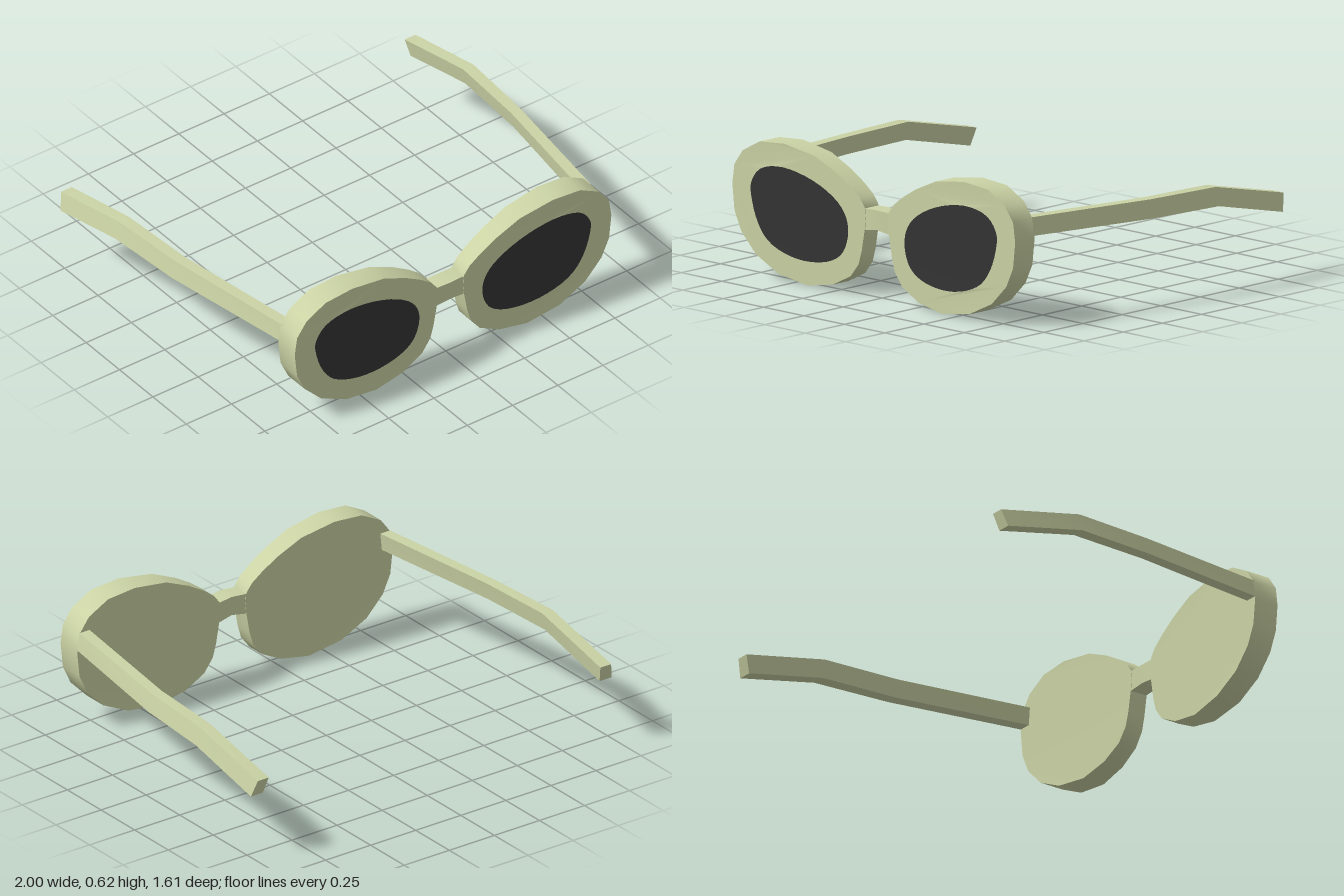
import * as THREE from 'three';
import { toCreasedNormals } from 'three/addons/utils/BufferGeometryUtils.js';

// Outline of one rim and one lens on the model's left (+x) side
const RIM = [
  [0.075, 0.31], [0.07, 0.36], [0.075, 0.41], [0.105, 0.45], [0.165, 0.495], [0.25, 0.545],
  [0.375, 0.6], [0.555, 0.628], [0.705, 0.616], [0.81, 0.56], [0.862, 0.49], [0.875, 0.4],
  [0.862, 0.28], [0.82, 0.19], [0.73, 0.098], [0.59, 0.03], [0.415, 0.003], [0.265, 0.03],
  [0.16, 0.083], [0.112, 0.145], [0.093, 0.21],
];
const LENS = [
  [0.176, 0.26], [0.18, 0.33], [0.22, 0.395], [0.32, 0.46], [0.47, 0.508], [0.605, 0.518],
  [0.71, 0.487], [0.76, 0.417], [0.755, 0.348], [0.72, 0.25], [0.66, 0.176], [0.55, 0.128],
  [0.417, 0.112], [0.283, 0.134], [0.21, 0.18],
];

// The front piece gets thinner toward the nose
const taper = (x) => Math.max(0, Math.min(1, (0.6 - Math.abs(x)) / 0.52));
const frontZ = (x) => 0.804 - 0.02 * taper(x);
const backZ = (x) => 0.68 + 0.016 * taper(x);

function outline(points, side) {
  const list = points.map(([x, y]) => new THREE.Vector2(x * side, y));
  return THREE.ShapeUtils.isClockWise(list) ? list.reverse() : list;
}

// Flat shape laid onto the front or back surface
function face(shape, zAt, flip) {
  const g = new THREE.ShapeGeometry(shape);
  const p = g.attributes.position;
  for (let i = 0; i < p.count; i++) p.setZ(i, zAt(p.getX(i)));
  if (flip) g.index.array.reverse();
  g.computeVertexNormals();
  return g;
}

// Smooth band around the edge of a rim
function edgeBand(pts) {
  const pos = [], idx = [], n = pts.length;
  pts.forEach((p, i) => {
    pos.push(p.x, p.y, backZ(p.x), p.x, p.y, frontZ(p.x));
    const a = 2 * i, b = 2 * ((i + 1) % n);
    idx.push(a, b, b + 1, a, b + 1, a + 1);
  });
  const g = new THREE.BufferGeometry();
  g.setAttribute('position', new THREE.Float32BufferAttribute(pos, 3));
  g.setIndex(idx);
  g.computeVertexNormals();
  return g;
}

// Bar through four-cornered sections, corners clockwise when looking along the bar
function bar(sections) {
  const idx = [], last = 4 * (sections.length - 1);
  for (let s = 0; s < last; s += 4) {
    for (let j = 0; j < 4; j++) {
      const a = s + j, b = s + (j + 1) % 4;
      idx.push(a, b, b + 4, a, b + 4, a + 4);
    }
  }
  idx.push(0, 2, 1, 0, 3, 2, last, last + 1, last + 2, last, last + 2, last + 3);
  const g = new THREE.BufferGeometry();
  g.setAttribute('position', new THREE.Float32BufferAttribute(sections.flat(2), 3));
  g.setIndex(idx);
  return toCreasedNormals(g, 0.5);
}

export function createModel() {
  const frameMat = new THREE.MeshStandardMaterial({ color: 0xcbd3a5 });
  frameMat.name = 'paleOliveFrame';
  const lensMat = new THREE.MeshStandardMaterial({ color: 0x343434 });
  lensMat.name = 'darkLens';

  const model = new THREE.Group();
  model.name = 'sunglasses';
  const add = (parent, name, geometry, material) => {
    const mesh = new THREE.Mesh(geometry, material);
    mesh.name = name;
    parent.add(mesh);
  };

  for (const [side, label] of [[1, 'left'], [-1, 'right']]) {
    // Rim: front ring, edge band and closed back
    const rim = new THREE.Group();
    rim.name = label + 'Rim';
    model.add(rim);
    const rimPts = outline(RIM, side);
    const curve = new THREE.CatmullRomCurve3(
      outline(LENS, side).map((p) => new THREE.Vector3(p.x, p.y, 0)), true);
    const lensPts = curve.getPoints(48).slice(0, 48).map((p) => new THREE.Vector2(p.x, p.y));
    const ring = new THREE.Shape(rimPts);
    ring.holes.push(new THREE.Path(lensPts));
    add(rim, label + 'RimFront', face(ring, frontZ), frameMat);
    add(rim, label + 'RimEdge', edgeBand(rimPts), frameMat);
    add(rim, label + 'RimBack', face(new THREE.Shape(rimPts), backZ, true), frameMat);

    // Lens, flush with the rim front
    add(model, label + 'Lens', face(new THREE.Shape(lensPts), frontZ), lensMat);

    // Temple arm: inner x, outer x, top y, bottom y, top z, bottom z
    const arm = [
      [0.805, 0.86, 0.495, 0.412, 0.69, 0.69],
      [0.9, 0.953, 0.484, 0.4, 0.02, 0.02],
      [0.922, 0.98, 0.482, 0.397, -0.37, -0.37],
      [0.92, 0.98, 0.386, 0.305, -0.805, -0.78],
    ].map(([xi, xo, top, bottom, zt, zb]) => {
      const lean = 0.012 + 0.008 * Math.min(1, (0.69 - zt) / 0.7);
      const corners = [
        [xi * side, top, zt], [xo * side, top, zt],
        [(xo + lean) * side, bottom, zb], [(xi + lean * 0.7) * side, bottom, zb],
      ];
      return side > 0 ? corners : corners.reverse();
    });
    add(model, label + 'Arm', bar(arm), frameMat);
  }

  // Nose bridge, slightly arched
  const bridge = [-0.1, -0.07, 0, 0.07, 0.1].map((x) => {
    const k = 1 - Math.abs(x) / 0.08;
    const top = 0.405 + 0.005 * k, bottom = 0.307 + 0.013 * k;
    const zb = 0.697 + 0.007 * k, zf = 0.781 + 0.009 * k;
    return [[x, top, zb], [x, top, zf], [x, bottom, zf], [x, bottom, zb]];
  });
  add(model, 'bridge', bar(bridge), frameMat);

  return model;
}
